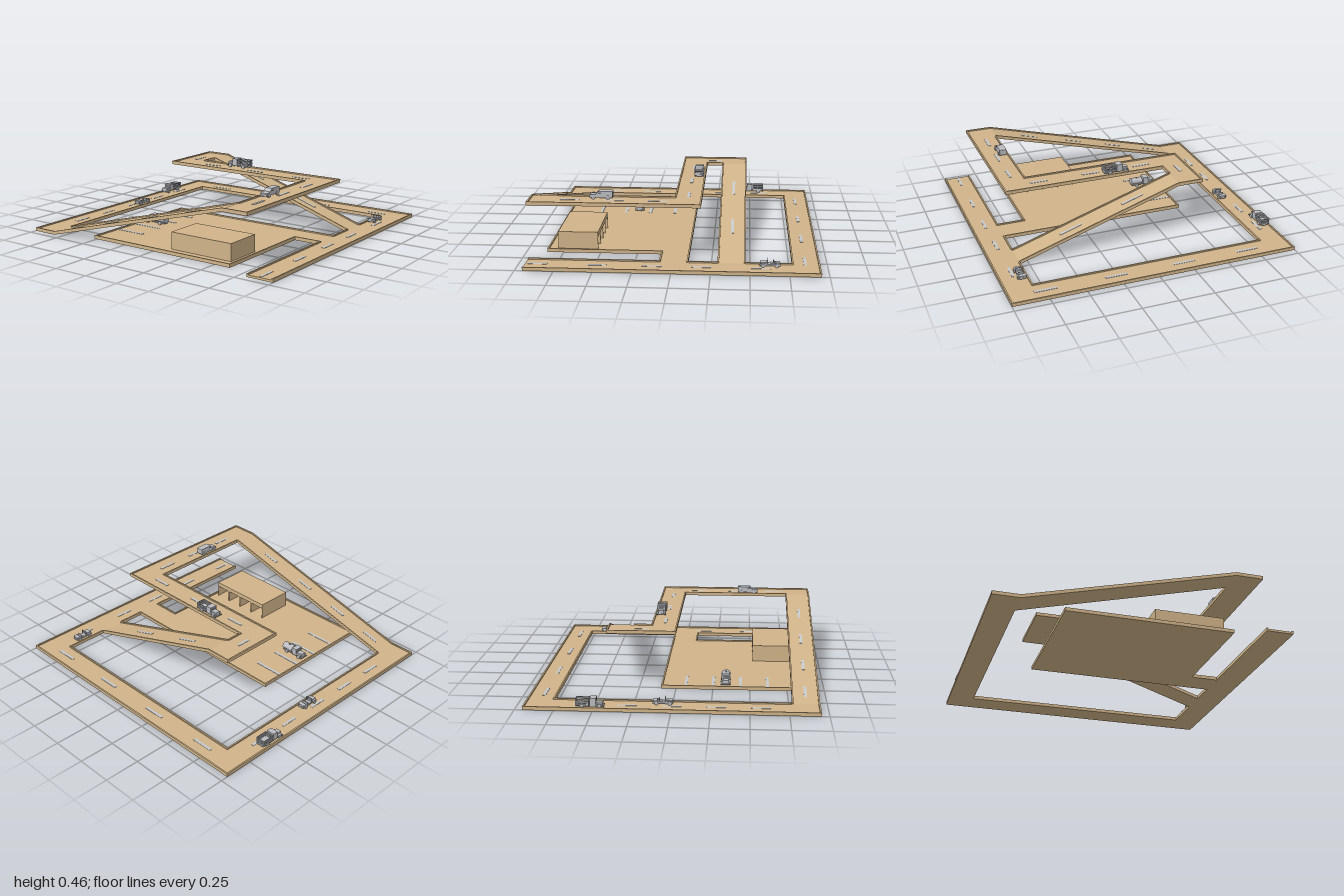
import * as THREE from 'three';

const mat = (name, color, side = THREE.FrontSide) => {
  const m = new THREE.MeshStandardMaterial({ color, side });
  m.name = name;
  return m;
};

export function createModel() {
  const model = new THREE.Group();
  model.name = 'roadPlayset';
  const tan = mat('tan board', 0xd0b389);
  const paint = mat('lane paint', 0xc4c6c8);
  const metal = mat('vehicle grey', 0xbabbc0);
  const dark = mat('dark trim', 0x6c6d72);

  const FLOOR = 0.015, CURB = 0.024, UP = 0.38, W = 0.01;

  const add = (parent, name, geo, material) => {
    const mesh = new THREE.Mesh(geo, material);
    mesh.name = name;
    parent.add(mesh);
    return mesh;
  };
  // box given by its limits on each axis
  const box = (x0, x1, y0, y1, z0, z1) =>
    new THREE.BoxGeometry(x1 - x0, y1 - y0, z1 - z0)
      .translate((x0 + x1) / 2, (y0 + y1) / 2, (z0 + z1) / 2);

  const group = (name, parent = model) => {
    const g = new THREE.Group();
    g.name = name;
    parent.add(g);
    return g;
  };

  // Flat level: slabs [x0,x1,z0,z1], curb lines [x0,z0,x1,z1], dashes [x,z,length,alongX]
  function level(name, y, slabs, curbs, dashes) {
    const g = group(name);
    g.position.y = y;
    for (const [x0, x1, z0, z1] of slabs) add(g, 'roadSlab', box(x0, x1, 0, FLOOR, z0, z1), tan);
    for (const [x0, z0, x1, z1] of curbs) {
      add(g, 'curb', box(x0 - W / 2, x1 + W / 2, 0.001, CURB, z0 - W / 2, z1 + W / 2), tan);
    }
    for (const [x, z, len, alongX] of dashes) {
      const a = alongX ? len / 2 : 0.01, b = alongX ? 0.01 : len / 2;
      add(g, 'laneDash', box(x - a, x + a, FLOOR, FLOOR + 0.002, z - b, z + b), paint);
    }
  }

  const row = (list, z, len) => list.map((x) => [x, z, len, true]);
  const column = (list, x, len) => list.map((z) => [x, z, len, false]);

  // Ground roads, parking lot and its link to the front road
  level('groundLevel', 0,
    [[-0.95, 0.95, 0.81, 1], [0.77, 0.95, -0.82, 0.81], [-0.95, 0.95, -1, -0.82],
      [-0.86, 0.10, -0.52, 0.62], [-0.09, 0.10, 0.62, 0.81]],
    [[-0.945, 0.995, 0.945, 0.995], [0.945, -0.995, 0.945, 0.995], [-0.945, -0.995, 0.945, -0.995],
      [-0.945, -0.995, -0.945, -0.825], [-0.765, -0.825, 0.775, -0.825], [0.775, -0.825, 0.775, 0.815],
      [-0.945, 0.815, -0.085, 0.815], [0.095, 0.815, 0.285, 0.815], [0.475, 0.815, 0.775, 0.815],
      [0.095, -0.515, 0.095, 0.815], [-0.855, -0.515, 0.095, -0.515], [-0.855, -0.515, -0.855, 0.615],
      [-0.855, 0.615, -0.085, 0.615], [-0.085, 0.615, -0.085, 0.815]],
    [...row([-0.57, -0.285, 0, 0.285, 0.57], -0.91, 0.125),
      ...row([-0.87, -0.485, -0.13, 0.19, 0.57], 0.9, 0.125),
      ...column([-0.68, -0.21, 0.27, 0.75], 0.855, 0.155),
      ...column([-0.4, -0.4, -0.4, -0.4], 0, 0.22).map((d, i) => [-0.62 + i * 0.185, ...d.slice(1)])]);

  // Raised road
  level('upperLevel', UP,
    [[-0.95, 0.18, 0.62, 0.81], [0, 0.18, -0.34, 0.62], [0, 0.47, -0.52, -0.34]],
    [[-0.945, 0.625, -0.945, 0.805], [-0.945, 0.805, 0.175, 0.805], [0.175, -0.345, 0.175, 0.805],
      [0.175, -0.345, 0.285, -0.345], [0.465, -0.515, 0.465, -0.345], [0.005, -0.515, 0.465, -0.515],
      [0.005, -0.515, 0.005, 0.625], [-0.765, 0.625, 0.005, 0.625]],
    [...row([-0.68, -0.39, -0.105], 0.71, 0.125), ...column([-0.21, 0.17, 0.55], 0.09, 0.125),
      [0.235, -0.435, 0.1, true]]);

  // Sloping road: flat boxes sheared so that y rises from zLow to zHigh
  function ramp(name, x0, x1, zLow, zHigh, dashZ, dashLen) {
    const g = group(name);
    const s = UP / (zHigh - zLow);
    const shear = new THREE.Matrix4().set(1, 0, 0, 0, 0, 1, s, -s * zLow, 0, 0, 1, 0, 0, 0, 0, 1);
    const z0 = Math.min(zLow, zHigh), z1 = Math.max(zLow, zHigh), xm = (x0 + x1) / 2;
    const part = (n, geo, m) => add(g, n, geo.applyMatrix4(shear), m);
    part('rampSlab', box(x0, x1, 0, FLOOR, z0, z1), tan);
    part('rampCurb', box(x0, x0 + W, 0.001, CURB, z0, z1), tan);
    part('rampCurb', box(x1 - W, x1, 0.001, CURB, z0, z1), tan);
    for (const z of dashZ) {
      part('laneDash', box(xm - 0.01, xm + 0.01, FLOOR, FLOOR + 0.002, z - dashLen / 2, z + dashLen / 2), paint);
    }
  }
  ramp('rightSideRamp', -0.95, -0.77, -0.82, 0.62, [-0.68, -0.36, -0.025, 0.335], 0.12);
  ramp('leftSideRamp', 0.29, 0.47, 0.81, -0.34, [-0.03, 0.42], 0.155);

  // Four-bay garage, open towards +x: comb profile with rounded openings
  const garage = group('garage');
  const L = 0.48, bay = L / 4, t = 0.003, top = 0.085, r = 0.012;
  const comb = new THREE.Shape();
  comb.moveTo(0, 0);
  for (let i = 0; i < 4; i++) {
    const a = i * bay + t, b = (i + 1) * bay - t;
    comb.lineTo(a, 0);
    comb.lineTo(a, top - r);
    comb.quadraticCurveTo(a, top, a + r, top);
    comb.lineTo(b - r, top);
    comb.quadraticCurveTo(b, top, b, top - r);
    comb.lineTo(b, 0);
  }
  comb.lineTo(L, 0);
  comb.lineTo(L, 0.118);
  comb.lineTo(0, 0.118);
  const bays = new THREE.ExtrudeGeometry(comb, { depth: 0.265, bevelEnabled: false, curveSegments: 4 });
  add(garage, 'garageBays', bays.rotateY(Math.PI / 2).translate(-0.785, FLOOR, 0.58), tan);
  add(garage, 'garageBackWall', box(-0.79, -0.784, FLOOR, FLOOR + 0.118, 0.1, 0.58), tan);

  // Vehicles face local -z and stand on y = 0
  function wheels(g, radius, halfWidth, zs) {
    for (const z of zs) for (const side of [-1, 1]) {
      const geo = new THREE.CylinderGeometry(radius, radius, 0.01, 12).rotateZ(Math.PI / 2);
      add(g, 'wheel', geo.translate(side * halfWidth, radius, z), metal);
    }
  }
  function vehicle(name, x, y, z, turn) {
    const g = group(name);
    g.position.set(x, y + FLOOR, z);
    g.rotation.y = turn;
    return g;
  }

  function truck(name, x, y, z, turn, load) {
    const g = vehicle(name, x, y, z, turn);
    wheels(g, 0.013, 0.027, [-0.064, 0.05]);
    add(g, 'chassis', box(-0.02, 0.02, 0.01, 0.018, -0.085, 0.088), metal);
    add(g, 'bumper', box(-0.032, 0.032, 0.01, 0.017, -0.092, -0.086), metal);
    add(g, 'hood', box(-0.019, 0.019, 0.018, 0.041, -0.085, -0.042), metal);
    for (const s of [-1, 1]) add(g, 'fender', box(s * 0.026 - 0.007, s * 0.026 + 0.007, 0.024, 0.029, -0.082, -0.042), metal);
    add(g, 'cab', box(-0.029, 0.029, 0.014, 0.066, -0.042, -0.003), metal);
    add(g, 'windscreen', box(-0.023, 0.023, 0.045, 0.06, -0.0425, -0.042), dark);
    if (load === 'tank') {
      const tank = new THREE.CylinderGeometry(0.023, 0.023, 0.086, 16).rotateX(Math.PI / 2).scale(1.3, 1, 1);
      add(g, 'tank', tank.translate(0, 0.039, 0.047), metal);
      add(g, 'tankHatch', new THREE.CylinderGeometry(0.007, 0.007, 0.006, 10).translate(0, 0.064, 0.045), metal);
    } else {
      add(g, 'bed', box(-0.033, 0.033, 0.018, 0.026, 0.003, 0.09), metal);
      for (let i = 0; i < 3; i++) {
        const y0 = 0.029 + i * 0.012, y1 = y0 + 0.008;
        for (const s of [-1, 1]) add(g, 'sideSlat', box(s * 0.032 - 0.0015, s * 0.032 + 0.0015, y0, y1, 0.003, 0.09), metal);
        for (const e of [0.0045, 0.0885]) add(g, 'endSlat', box(-0.032, 0.032, y0, y1, e - 0.0015, e + 0.0015), metal);
      }
      for (const s of [-1, 1]) for (const e of [0.007, 0.046, 0.086]) {
        add(g, 'stake', box(s * 0.03 - 0.001, s * 0.03 + 0.001, 0.02, 0.061, e - 0.002, e + 0.002), metal);
      }
    }
  }

  function jeep(name, x, z, turn) {
    const g = vehicle(name, x, 0, z, turn);
    wheels(g, 0.012, 0.024, [-0.045, 0.042]);
    add(g, 'body', box(-0.021, 0.021, 0.009, 0.021, -0.066, 0.066), metal);
    add(g, 'hood', box(-0.017, 0.017, 0.021, 0.032, -0.064, -0.02), metal);
    for (const s of [-1, 1]) for (const e of [-0.045, 0.042]) {
      add(g, 'fender', box(s * 0.024 - 0.006, s * 0.024 + 0.006, 0.024, 0.028, e - 0.016, e + 0.016), metal);
    }
    // upright windscreen frame with two posts and a top bar
    for (const s of [-1, 1]) add(g, 'windscreenPost', box(s * 0.021 - 0.002, s * 0.021 + 0.002, 0.02, 0.05, -0.018, -0.014), metal);
    add(g, 'windscreenBar', box(-0.023, 0.023, 0.047, 0.051, -0.018, -0.014), metal);
    add(g, 'seat', box(-0.018, 0.018, 0.02, 0.025, 0.004, 0.022), metal);
    add(g, 'seatBack', box(-0.018, 0.018, 0.02, 0.039, 0.02, 0.026), metal);
    add(g, 'rearBox', box(-0.021, 0.021, 0.02, 0.03, 0.036, 0.064), metal);
  }

  function van(name, x, y, z, turn) {
    const g = vehicle(name, x, y, z, turn);
    wheels(g, 0.013, 0.024, [-0.05, 0.045]);
    // side profile extruded across the width
    const p = [[-0.076, 0.01], [0.076, 0.01], [0.076, 0.05], [0.07, 0.053], [-0.016, 0.053],
      [-0.034, 0.034], [-0.072, 0.029], [-0.076, 0.024]].map(([a, b]) => new THREE.Vector2(-a, b));
    const geo = new THREE.ExtrudeGeometry(new THREE.Shape(p), { depth: 0.05, bevelEnabled: false });
    add(g, 'vanBody', geo.rotateY(Math.PI / 2).translate(-0.025, 0, 0), metal);
    for (const s of [-1, 1]) add(g, 'sideWindow', box(s * 0.0252 - 0.0005, s * 0.0252 + 0.0005, 0.035, 0.047, -0.02, 0.002), dark);
  }

  const q = Math.PI / 2;
  truck('stakeTruckBack', 0.52, 0, -0.955, q, 'stakes');
  truck('stakeTruckUpper', 0.135, UP, 0, 0, 'stakes');
  truck('tankTruck', -0.335, 0, -0.4, 0, 'tank');
  jeep('jeepBack', 0.058, -0.87, q);
  jeep('jeepFront', 0.628, 0.855, q);
  van('van', -0.478, UP, 0.665, q);
  return model;
}
